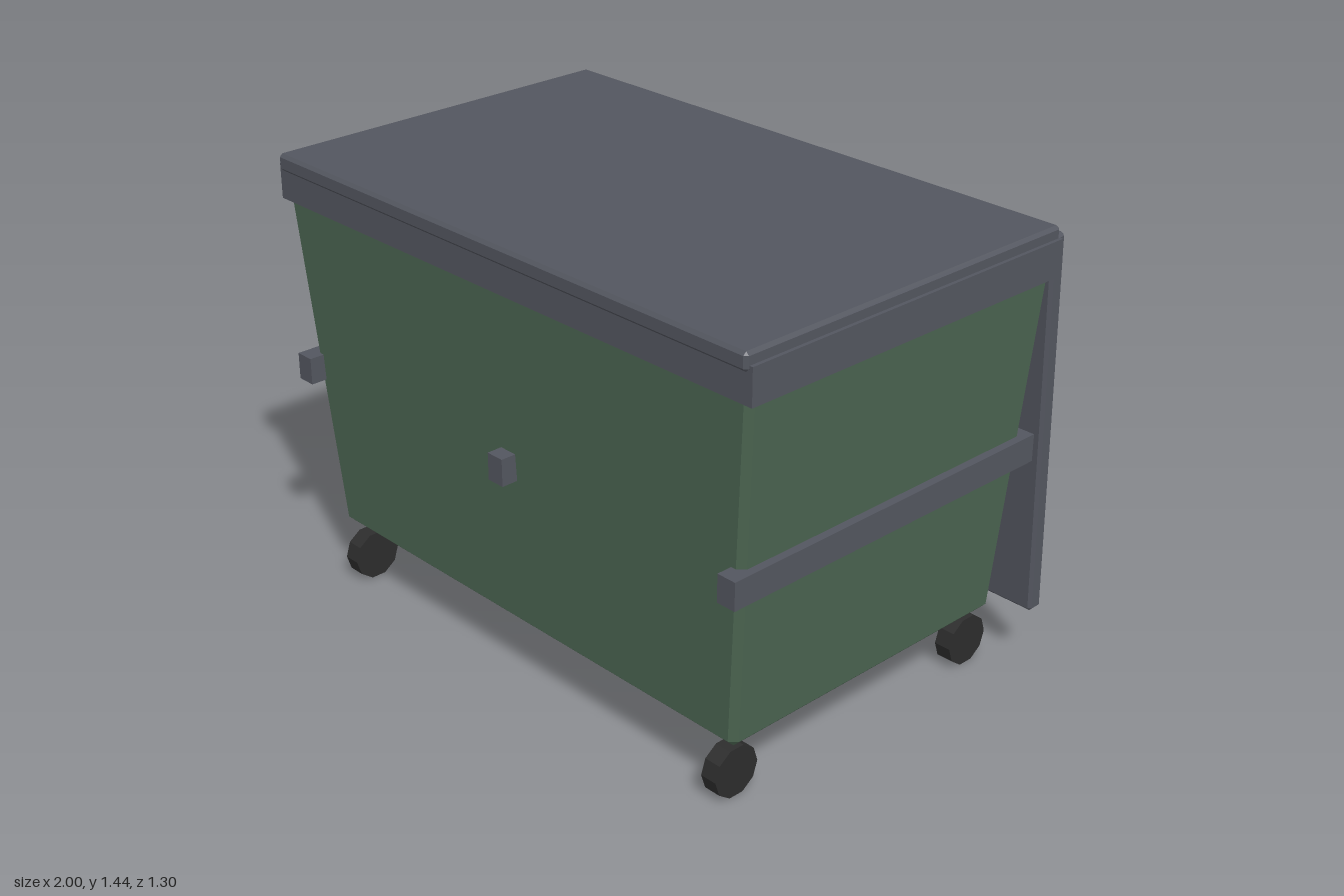
import * as THREE from 'three';

const paint = (color) => new THREE.MeshStandardMaterial({ color, flatShading: true });

// Solid lofted through rectangles with cut corners.
// Each ring: y, half width x, back z, front z, corner cut c.
function cutCornerLoft(rings) {
  const loops = rings.map(({ y, x, back, front, c }) => [
    [x - c, front], [x, front - c], [x, back + c], [x - c, back],
    [c - x, back], [-x, back + c], [-x, front - c], [c - x, front],
  ].map(([px, pz]) => [px, y, pz]));
  const pos = [];
  const tri = (a, b, c) => pos.push(...a, ...b, ...c);
  for (let r = 0; r < loops.length - 1; r++) {
    const lo = loops[r], hi = loops[r + 1];
    for (let i = 0; i < 8; i++) {
      const j = (i + 1) % 8;
      tri(lo[i], lo[j], hi[j]);
      tri(lo[i], hi[j], hi[i]);
    }
  }
  const base = loops[0], top = loops[loops.length - 1];
  for (let i = 1; i < 7; i++) {
    tri(base[0], base[i + 1], base[i]);
    tri(top[0], top[i], top[i + 1]);
  }
  const geo = new THREE.BufferGeometry();
  geo.setAttribute('position', new THREE.Float32BufferAttribute(pos, 3));
  geo.computeVertexNormals();
  return geo;
}

// Box with every edge bevelled by b
function bevelBox(w, h, d, b) {
  const ring = (y, inset, c) => ({ y, x: w / 2 - inset, back: inset - d / 2, front: d / 2 - inset, c });
  return cutCornerLoft([
    ring(-h / 2, b, 0), ring(b - h / 2, 0, b), ring(h / 2 - b, 0, b), ring(h / 2, b, 0),
  ]);
}

export function createModel() {
  const green = paint(0x4c6652);
  const grey = paint(0x53565f);
  const black = paint(0x2d2d2d);
  const model = new THREE.Group();
  const add = (name, geo, mat, x, y, z) => {
    const mesh = new THREE.Mesh(geo, mat);
    mesh.name = name;
    mesh.position.set(x, y, z);
    model.add(mesh);
    return mesh;
  };

  // Tapered container, closed under the rim
  add('tub', cutCornerLoft([
    { y: 0.187, x: 0.868, back: -0.504, front: 0.546, c: 0 },
    { y: 0.21, x: 0.89, back: -0.527, front: 0.569, c: 0.022 },
    { y: 1.33, x: 0.984, back: -0.57, front: 0.628, c: 0.02 },
  ]), green, 0, 0, 0);

  // Rim and lid
  add('rim', new THREE.BoxGeometry(2, 0.112, 1.222), grey, 0, 1.344, 0.026);
  add('lid', bevelBox(1.978, 0.055, 1.237, 0.01), grey, 0, 1.409, 0.031);

  // Leaning back panel
  const panel = add('backPanel', bevelBox(1.978, 1.225, 0.053, 0.01), grey, 0, 0.798, -0.604);
  panel.rotation.x = 0.029;

  // Side rails and front catch
  for (const [name, x] of [['leftRail', 0.932], ['rightRail', -0.932]]) {
    add(name, new THREE.BoxGeometry(0.064, 0.087, 1.225), grey, x, 0.741, 0.0365);
  }
  add('frontCatch', new THREE.BoxGeometry(0.062, 0.087, 0.1), grey, 0, 0.741, 0.599);

  // Ten-sided wheels
  const wheelGeo = new THREE.CylinderGeometry(0.082, 0.082, 0.056, 10).rotateZ(Math.PI / 2);
  for (const [end, z] of [['front', 0.517], ['back', -0.474]]) {
    add(end + 'LeftWheel', wheelGeo, black, 0.825, 0.078, z);
    add(end + 'RightWheel', wheelGeo, black, -0.825, 0.078, z);
  }
  return model;
}
